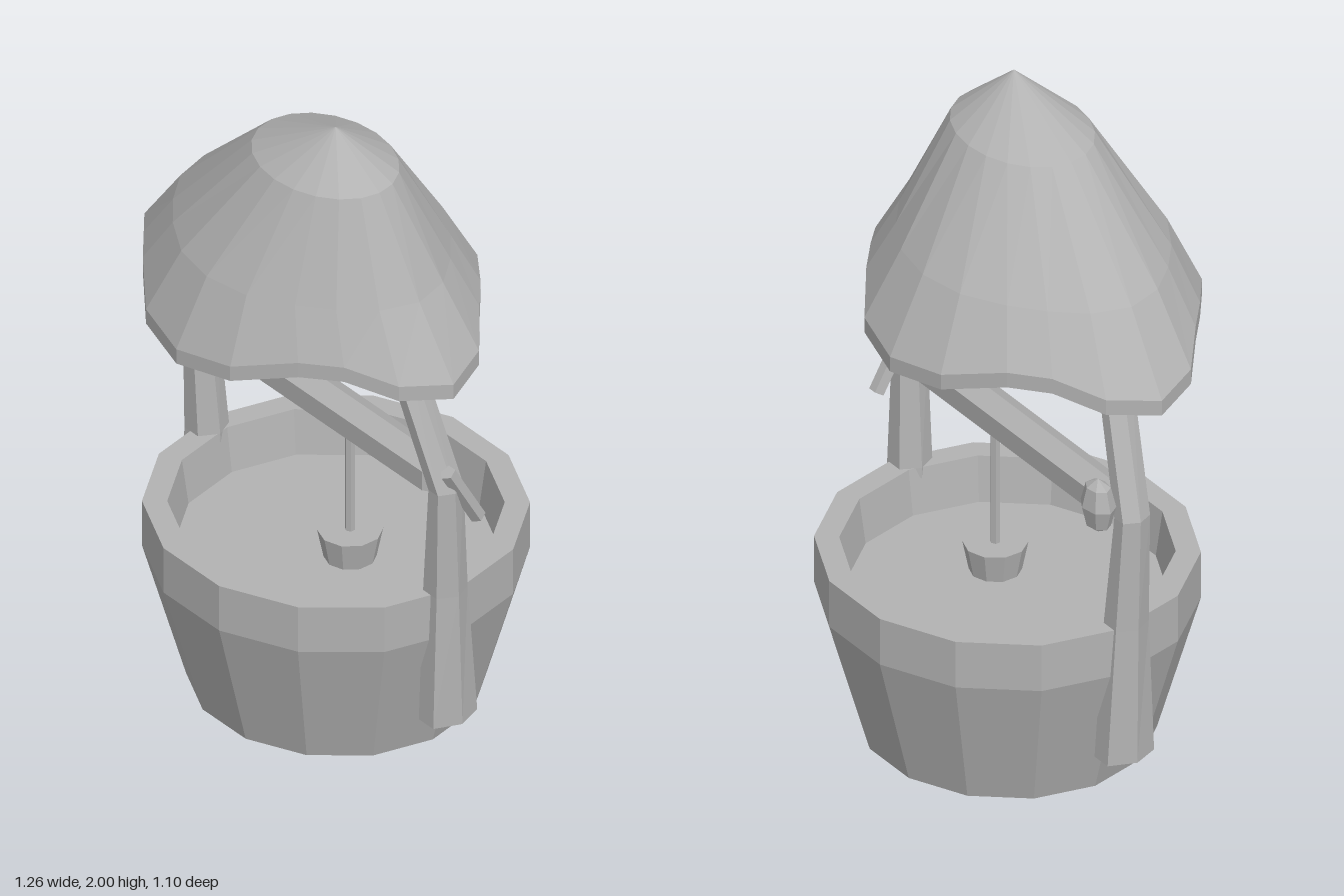
import * as THREE from 'three';

// Skin a list of closed rings (each an array of [x, y, z]), bottom to top.
function loft(rings) {
  const n = rings[0].length, index = [];
  for (let j = 0; j < rings.length - 1; j++) {
    for (let i = 0; i < n; i++) {
      const a = j * n + i, b = j * n + (i + 1) % n;
      index.push(a, a + n, b, b, a + n, b + n);
    }
  }
  const geometry = new THREE.BufferGeometry();
  geometry.setAttribute('position', new THREE.Float32BufferAttribute(rings.flat(2), 3));
  geometry.setIndex(index);
  geometry.computeVertexNormals();
  return geometry;
}

// Elliptical ring in a level plane; zero radii close an end.
function ring(n, x, y, z, rx, rz) {
  return Array.from({ length: n }, (_, i) => {
    const a = (i / n) * Math.PI * 2;
    return [x + rx * Math.cos(a), y, z + rz * Math.sin(a)];
  });
}

export function createModel() {
  const group = new THREE.Group();
  const stone = new THREE.MeshStandardMaterial({ color: 0xb2b2b2, flatShading: true, side: THREE.DoubleSide });
  stone.name = 'plain grey';
  const add = (name, geometry, x = 0, y = 0, z = 0) => {
    const mesh = new THREE.Mesh(geometry, stone);
    mesh.name = name;
    mesh.position.set(x, y, z);
    group.add(mesh);
    return mesh;
  };

  // Basin: tapered wall, upright rim and inner floor, open underneath
  const profile = [[0.415, 0], [0.537, 0.43], [0.537, 0.58], [0.467, 0.58], [0.447, 0.44], [0, 0.44]]
    .map(([r, y]) => new THREE.Vector2(r, y));
  add('basin', new THREE.LatheGeometry(profile, 14, Math.PI / 14), 0, 0, -0.028).scale.x = 1.035;

  // Two bent posts, flared at the foot and leaning in at the top
  const stations = [ // x, y, z, half width, half depth
    [0.532, 0.15, 0, 0.064, 0.082],
    [0.53, 0.58, 0.008, 0.06, 0.058],
    [0.545, 0.93, 0.018, 0.042, 0.048],
    [0.385, 1.36, 0.062, 0.037, 0.048],
  ];
  for (const side of [-1, 1]) {
    const rings = stations.map(([x, y, z, w, d]) => ring(6, side * x, y, z, w, d * 1.12));
    const [x0, y0, z0] = stations[0], [x1, y1, z1] = stations[3];
    rings.unshift(ring(6, side * x0, y0, z0, 0, 0));
    rings.push(ring(6, side * x1, y1, z1, 0, 0));
    add(side < 0 ? 'rightPost' : 'leftPost', loft(rings));
  }

  // Windlass beam
  const beam = new THREE.CylinderGeometry(0.063, 0.063, 1.0, 6);
  beam.rotateZ(Math.PI / 2);
  beam.rotateX(Math.PI / 2);
  add('beam', beam, -0.005, 0.945, 0.01);

  // Knob behind one post, crank stick on the other
  add('knob', new THREE.SphereGeometry(1, 7, 4), -0.5, 0.975, -0.068).scale.set(0.062, 0.087, 0.046);
  const stick = add('crankStick', new THREE.CylinderGeometry(0.024, 0.024, 0.22, 5), 0.572, 0.905, -0.02);
  stick.rotation.x = 0.52;

  // Rope and bucket
  add('rope', new THREE.CylinderGeometry(0.015, 0.015, 0.42, 6), 0.085, 0.71, -0.01);
  add('bucket', new THREE.CylinderGeometry(0.093, 0.075, 0.09, 10), 0.085, 0.495, -0.01);

  // Roof: one quarter of the wavy eave [x, z, height], mirrored around
  const quarter = [[0.63, 0, 1.29], [0.565, 0.145, 1.31], [0.445, 0.245, 1.355],
    [0.345, 0.33, 1.355], [0.187, 0.447, 1.31], [0, 0.49, 1.29]];
  const eave = Array.from({ length: 20 }, (_, i) => {
    const q = Math.floor(i / 5), k = i % 5;
    const [x, z, y] = quarter[q % 2 ? 5 - k : k];
    return [q === 0 || q === 3 ? x : -x, y, (q < 2 ? z : -z) + 0.06];
  });
  const eaveTop = eave.map(([x, y, z]) => [x, y + 0.048, z]);
  const middle = ring(20, 0.02, 1.555, 0.076, 0.478, 0.38).map(([x, y, z], i) => [
    0.5 * x + 0.5 * (0.02 + eave[i][0] * 0.76),
    y,
    0.5 * z + 0.5 * (0.076 + (eave[i][2] - 0.06) * 0.776),
  ]);
  add('roof', loft([
    ring(20, 0, 1.29, 0.06, 0, 0),
    eave,
    eaveTop,
    middle,
    ring(20, 0.11, 1.857, 0.1, 0.24, 0.185),
    ring(20, 0.18, 2, 0.12, 0, 0),
  ]));

  return group;
}
